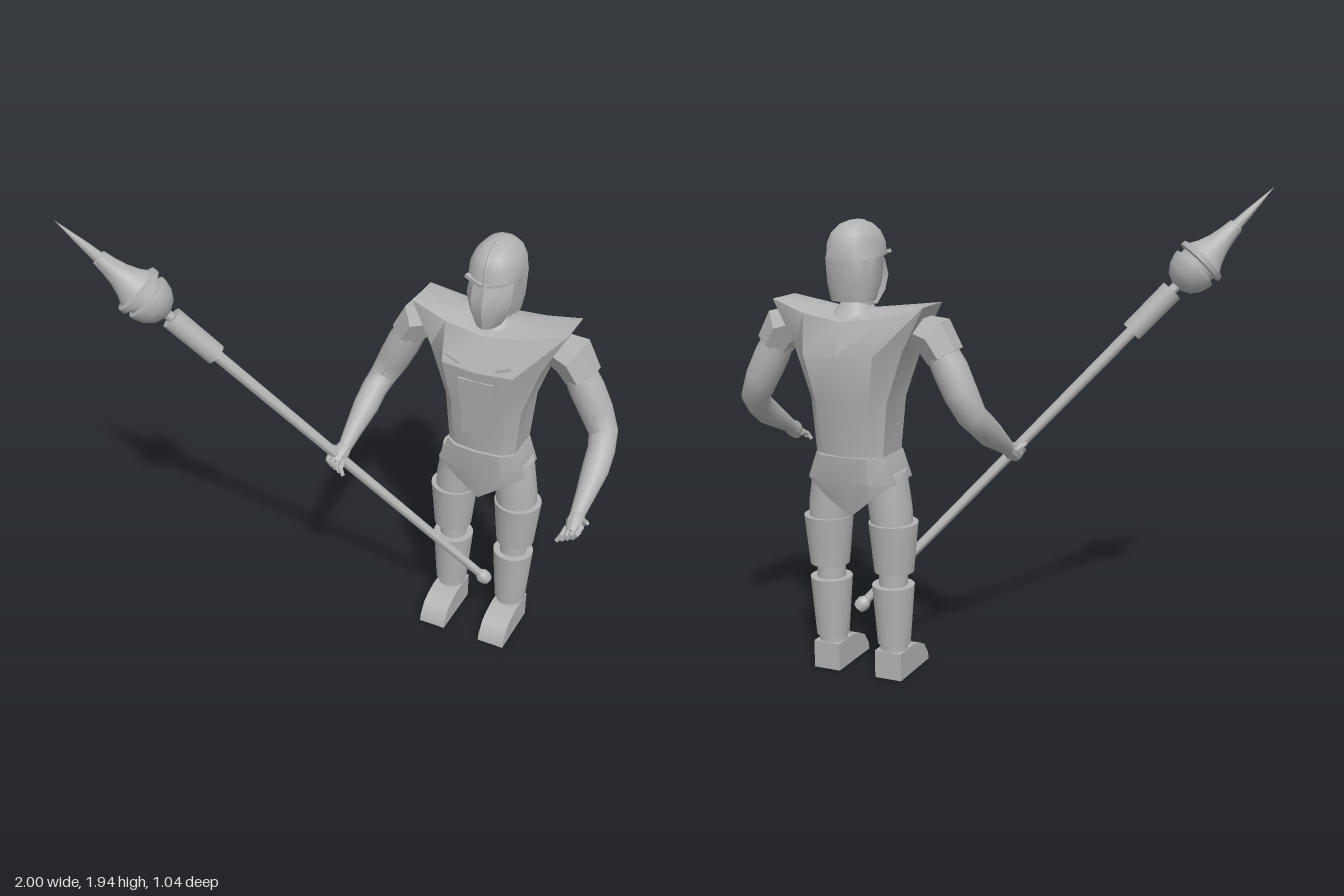
import * as THREE from 'three';
import { toCreasedNormals } from 'three/addons/utils/BufferGeometryUtils.js';

const V = (x, y, z) => new THREE.Vector3(x, y, z);

export function createModel() {
  const grey = new THREE.MeshStandardMaterial({ color: 0xb2b2b2 });
  grey.name = 'plain grey';
  const model = new THREE.Group();
  const figure = new THREE.Group();
  figure.name = 'figure';
  figure.position.x = 0.425;
  model.add(figure);

  const add = (name, geo, parent = figure, crease = 0.55) => {
    const mesh = new THREE.Mesh(toCreasedNormals(geo, crease), grey);
    mesh.name = name;
    parent.add(mesh);
    return mesh;
  };

  // Skin a stack of equal-length closed rings and close both ends
  const loft = (rings) => {
    const n = rings[0].length, pos = [], idx = [];
    const mid = (r) => r.reduce((s, p) => s.add(p), V(0, 0, 0)).divideScalar(n);
    rings.forEach((r) => r.forEach((p) => pos.push(p.x, p.y, p.z)));
    const last = rings.length - 1, c0 = rings.length * n;
    for (const p of [mid(rings[0]), mid(rings[last])]) pos.push(p.x, p.y, p.z);
    for (let j = 0; j < n; j++) {
      const k = (j + 1) % n;
      for (let i = 0; i < last; i++) {
        const a = i * n + j, b = i * n + k;
        idx.push(a, b, b + n, a, b + n, a + n);
      }
      idx.push(c0, k, j, c0 + 1, last * n + j, last * n + k);
    }
    const g = new THREE.BufferGeometry();
    g.setAttribute('position', new THREE.Float32BufferAttribute(pos, 3));
    g.setIndex(idx);
    return g;
  };

  // Round limb along [x, y, z, radius] stations
  const limb = (st, sides = 16) => {
    const p = st.map((s) => V(s[0], s[1], s[2]));
    return loft(p.map((c, i) => {
      const d = p[Math.min(i + 1, p.length - 1)].clone().sub(p[Math.max(i - 1, 0)]).normalize();
      const v = V(0, 0, 1).cross(d);
      if (v.length() < 0.1) v.set(0, 1, 0);
      v.normalize();
      const u = v.clone().cross(d);
      return Array.from({ length: sides }, (_, j) => {
        const t = (j / sides) * Math.PI * 2;
        return c.clone().addScaledVector(u, Math.cos(t) * st[i][3]).addScaledVector(v, Math.sin(t) * st[i][3]);
      });
    }));
  };

  // Symmetric ring from right-half points, listed front to back
  const mirrorRing = (half) => [
    ...half.map((q) => V(...q)),
    ...half.slice(1, -1).reverse().map(([x, y, z]) => V(-x, y, z)),
  ];

  // Oval ring: height, half width, front z, back z
  const oval = ([y, w, zf, zb]) => Array.from({ length: 24 }, (_, j) => {
    const t = (j / 24) * Math.PI * 2, c = Math.cos(t), s = Math.sin(t);
    const sq = (v) => Math.sign(v) * Math.abs(v) ** 0.85;
    return V(w * sq(c), y, (zf + zb) / 2 - ((zf - zb) / 2) * sq(s));
  });

  const cyl = (name, x, z, y0, y1, r0, r1) =>
    add(name, new THREE.CylinderGeometry(r1, r0, y1 - y0, 24)).position.set(x, (y0 + y1) / 2, z);

  // Torso armour: y centre, y side, a, w, front, back, side front, side back
  const torso = [
    [0.92, 0.92, 0.10, 0.145, -0.215, -0.47, -0.26, -0.42],
    [1.145, 1.145, 0.115, 0.165, -0.18, -0.495, -0.25, -0.42],
    [1.33, 1.35, 0.15, 0.235, -0.15, -0.523, -0.24, -0.42],
    [1.46, 1.525, 0.17, 0.325, -0.215, -0.475, -0.25, -0.42],
  ].map(([yc, ys, a, w, f, b, sf, sb]) => mirrorRing([
    [0, yc, f], [a, (yc * 2 + ys) / 3, f - 0.012], [w, ys, sf],
    [w, ys, sb], [a, (yc * 2 + ys) / 3, b + 0.02], [0, yc, b],
  ]));
  add('torsoArmour', loft(torso));

  // Raised abdomen plate and chest ridges
  add('abdomenPlate', loft([[1.02, 0.062, -0.19], [1.145, 0.066, -0.172], [1.29, 0.075, -0.15]].map(
    ([y, w, z]) => [V(-w, y, z), V(w, y, z - 0.004), V(w, y, z - 0.03), V(-w, y, z - 0.03)])));
  for (const s of [-1, 1]) {
    const ridge = add('chestRidge', new THREE.BoxGeometry(0.1, 0.012, 0.009));
    ridge.position.set(s * 0.09, 1.355, -0.168);
    ridge.rotation.z = s * 0.4;
  }

  // Pelvis with pointed front and back
  add('pelvis', loft([
    mirrorRing([[0, 0.675, -0.245], [0.1, 0.755, -0.24], [0.185, 0.82, -0.25],
      [0.185, 0.82, -0.42], [0.1, 0.755, -0.44], [0, 0.675, -0.425]]),
    mirrorRing([[0, 0.82, -0.215], [0.1, 0.82, -0.218], [0.186, 0.825, -0.25],
      [0.186, 0.825, -0.42], [0.1, 0.82, -0.465], [0, 0.82, -0.465]]),
    mirrorRing([[0, 0.93, -0.2], [0.1, 0.93, -0.21], [0.148, 0.93, -0.25],
      [0.148, 0.93, -0.42], [0.1, 0.93, -0.47], [0, 0.93, -0.48]]),
  ]));

  // Neck and collar
  cyl('neck', 0, -0.335, 1.42, 1.6, 0.065, 0.06);
  add('collar', loft([[1.44, 0.12, -0.23, -0.46], [1.525, 0.05, -0.28, -0.4]].map(oval)));

  // Helmet, crest, face plate and brow
  add('helmet', loft([
    [1.53, 0.085, -0.285, -0.435], [1.6, 0.1, -0.245, -0.452], [1.695, 0.104, -0.225, -0.462],
    [1.7, 0.104, -0.19, -0.462], [1.75, 0.1, -0.195, -0.458], [1.79, 0.083, -0.215, -0.44],
    [1.82, 0.054, -0.25, -0.405], [1.834, 0.02, -0.3, -0.36],
  ].map(oval)), figure, 0.7);
  add('crest', limb([[0, 1.69, -0.192, 0.008], [0, 1.75, -0.197, 0.008],
    [0, 1.79, -0.217, 0.008], [0, 1.824, -0.262, 0.008], [0, 1.831, -0.32, 0.006]], 6));
  add('facePlate', loft([
    [1.505, 0.05, -0.19], [1.56, 0.08, -0.178], [1.62, 0.093, -0.174], [1.685, 0.09, -0.195],
  ].map(([y, w, z]) => mirrorRing([[0, y, z], [w * 0.6, y, z - 0.018], [w, y, z - 0.07], [0, y, z - 0.08]]))));
  for (const s of [-1, 1]) {
    const brow = add('brow', new THREE.BoxGeometry(0.085, 0.014, 0.02));
    brow.position.set(s * 0.045, 1.7, -0.2);
    brow.rotation.set(0, s * 0.35, s * 0.2);
  }

  // Foot outline, seen from the side
  const sole = new THREE.Shape([[-0.4, 0], [-0.14, 0], [-0.145, 0.03], [-0.18, 0.08],
    [-0.22, 0.1], [-0.28, 0.115], [-0.4, 0.115]].map(([z, y]) => new THREE.Vector2(-z, y)));

  for (const s of [-1, 1]) {
    // Leg
    add('thigh', limb([[s * 0.145, 0.58, -0.34, 0.082], [s * 0.135, 0.7, -0.34, 0.088], [s * 0.115, 0.85, -0.34, 0.085]], 20));
    cyl('thighGuard', s * 0.146, -0.34, 0.445, 0.65, 0.08, 0.1);
    cyl('knee', s * 0.141, -0.34, 0.37, 0.46, 0.058, 0.058);
    cyl('shinGuard', s * 0.141, -0.34, 0.14, 0.388, 0.067, 0.086);
    cyl('ankle', s * 0.14, -0.34, 0.09, 0.16, 0.056, 0.056);
    const foot = add('foot', new THREE.ExtrudeGeometry(sole, { depth: 0.116, bevelEnabled: false }));
    foot.rotation.y = Math.PI / 2;
    foot.position.x = s * 0.14 - 0.058;

    // Arm
    add('shoulderPad', limb([[s * 0.22, 1.435, -0.33, 0.06], [s * 0.33, 1.405, -0.33, 0.088],
      [s * 0.375, 1.33, -0.33, 0.075]], 6));
    add('arm', limb([[s * 0.34, 1.38, -0.33, 0.06], [s * 0.395, 1.28, -0.33, 0.07], [s * 0.44, 1.19, -0.335, 0.067],
      [s * 0.482, 1.105, -0.325, 0.058], [s * 0.498, 1.06, -0.27, 0.054], [s * 0.503, 1.01, -0.2, 0.053],
      [s * 0.505, 0.95, -0.09, 0.038], [s * 0.505, 0.905, -0.01, 0.028]]), figure, 0.9);

    // Hand with curled fingers
    add('palm', limb([[s * 0.505, 0.915, -0.03, 0.026], [s * 0.51, 0.895, 0.01, 0.037], [s * 0.515, 0.87, 0.045, 0.03]], 10));
    for (let i = 0; i < 4; i++) {
      const x = 0.485 + i * 0.019, y = 0.862 + i * 0.008;
      add('finger', limb([[s * x, y + 0.015, 0.035, 0.012], [s * (x - 0.005), y, 0.072, 0.011],
        [s * (x - 0.022), y - 0.026, 0.08 - i * 0.004, 0.008]], 8));
    }
    add('thumb', limb([[s * 0.53, 0.9, 0.0, 0.014], [s * 0.552, 0.915, 0.02, 0.012], [s * 0.565, 0.925, 0.035, 0.007]], 8));
  }

  // Spear, turned along its own axis from butt to tip
  const spear = new THREE.Group();
  spear.name = 'spear';
  const butt = V(0.485, 0.23, -0.275), tip = V(-1, 1.945, 0.52);
  spear.position.copy(butt);
  spear.quaternion.setFromUnitVectors(V(0, 1, 0), tip.clone().sub(butt).normalize());
  const length = tip.distanceTo(butt);
  const turn = (name, pts) => add(name,
    new THREE.LatheGeometry(pts.map(([r, h]) => new THREE.Vector2(r, h)), 24), spear);
  turn('buttKnob', [[0, 0], [0.024, 0.004], [0.03, 0.02], [0.03, 0.04], [0.018, 0.06]]);
  turn('shaft', [[0.018, 0.03], [0.024, 1.63]]);
  turn('sleeve', [[0, 1.6], [0.044, 1.6], [0.046, 1.83], [0, 1.83]]);
  turn('spearNeck', [[0.02, 1.82], [0.02, 1.88]]);
  turn('spearHead', [[0, 1.855], [0.025, 1.855], [0.06, 1.872], [0.085, 1.905], [0.098, 1.945], [0.098, 1.958],
    [0.082, 1.962], [0.082, 1.982], [0.104, 1.986], [0.104, 2.006], [0.085, 2.012], [0.066, 2.045],
    [0.049, 2.09], [0.038, 2.14], [0.031, 2.19], [0.022, 2.195], [0.018, 2.25], [0, length]]);
  model.add(spear);

  return model;
}
